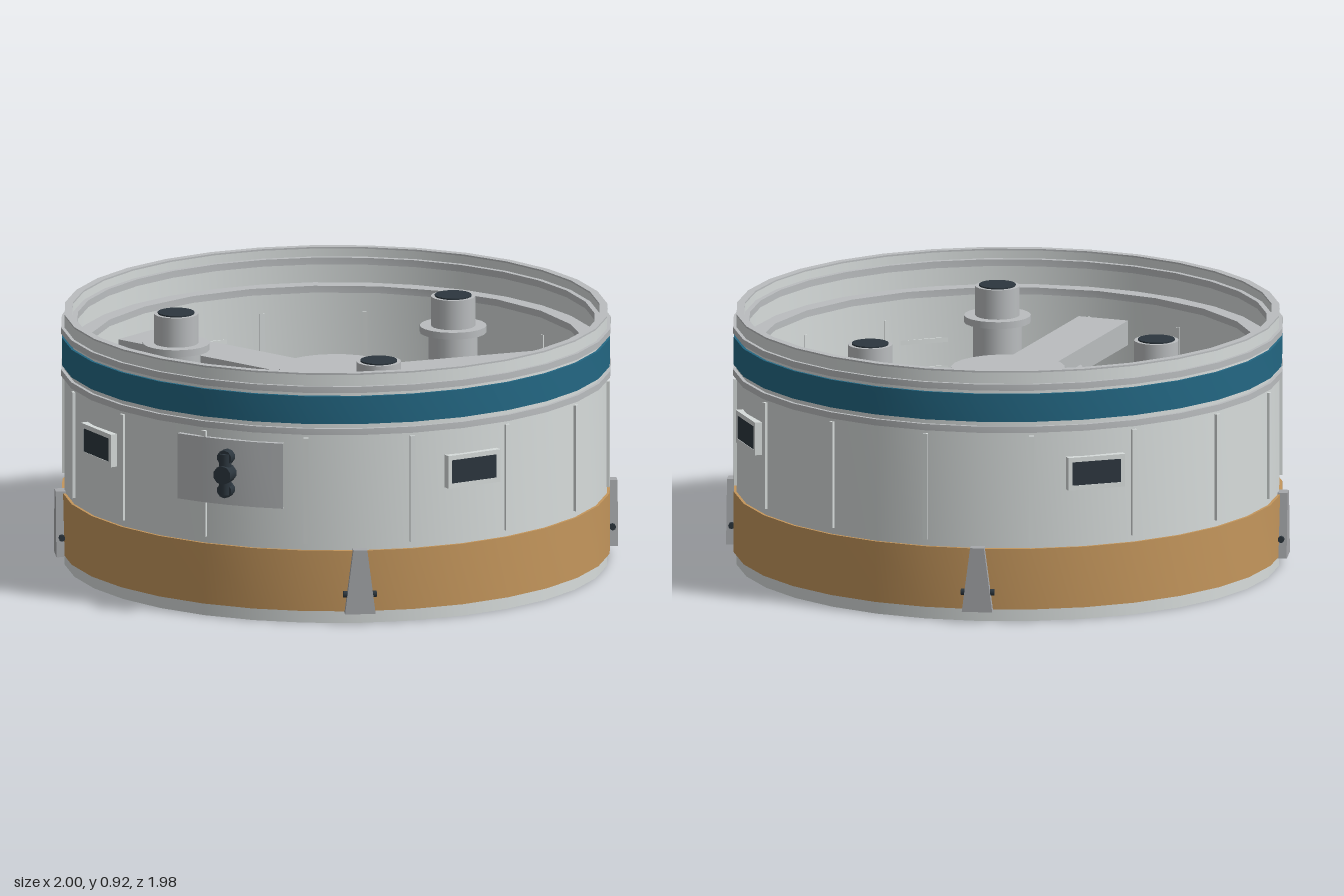
import * as THREE from 'three';
import { toCreasedNormals } from 'three/addons/utils/BufferGeometryUtils.js';

const material = (name, color) => {
  const m = new THREE.MeshStandardMaterial({ color });
  m.name = name;
  return m;
};

export function createModel() {
  const shellGrey = material('shell light grey', 0xd7dcdb);
  const frameGrey = material('structure grey', 0xbabdbf);
  const clampGrey = material('clamp grey', 0xa6a8ab);
  const teal = material('teal', 0x236783);
  const tan = material('tan', 0xc4965c);
  const dark = material('dark slate', 0x2c363e);
  frameGrey.side = THREE.DoubleSide;

  const model = new THREE.Group();
  model.name = 'ringModule';
  const body = new THREE.Group();
  body.name = 'body';
  body.position.x = 0.008;
  model.add(body);

  const add = (name, geometry, mat, parent = body) => {
    const mesh = new THREE.Mesh(geometry, mat);
    mesh.name = name;
    parent.add(mesh);
    return mesh;
  };

  // Solid ring with a rectangular section
  const ring = (name, rOut, rIn, y0, y1, mat, sides = 32, parent = body) => {
    const profile = [[rIn, y0], [rOut, y0], [rOut, y1], [rIn, y1], [rIn, y0]]
      .map(([r, y]) => new THREE.Vector2(r, y));
    return add(name, toCreasedNormals(new THREE.LatheGeometry(profile, sides), 0.5), mat, parent);
  };
  const disc = (name, r, y0, y1, mat, sides = 24, parent = body) => {
    const mesh = add(name, new THREE.CylinderGeometry(r, r, y1 - y0, sides), mat, parent);
    mesh.position.y = (y0 + y1) / 2;
    return mesh;
  };
  // Group on the wall whose local +z points outward; angle is measured from +z towards +x
  const onWall = (name, degrees, r, y) => {
    const a = THREE.MathUtils.degToRad(degrees);
    const g = new THREE.Group();
    g.name = name;
    g.position.set(Math.sin(a) * r, y, Math.cos(a) * r);
    g.rotation.y = a;
    body.add(g);
    return g;
  };

  // Outer shell, bands and flanges
  ring('shell', 0.976, 0.948, 0, 0.914, shellGrey);
  ring('topRim', 0.976, 0.948, 0.914, 0.92, frameGrey);
  ring('lowerBand', 0.986, 0.96, 0.045, 0.268, tan);
  ring('upperBand', 0.986, 0.96, 0.735, 0.837, teal);
  ring('lowerFlange', 0.988, 0.96, 0.695, 0.718, frameGrey);
  ring('upperFlange', 0.988, 0.96, 0.85, 0.873, frameGrey);

  // Inner ledges
  ring('topLip', 0.955, 0.93, 0.86, 0.885, frameGrey);
  ring('innerLedge', 0.955, 0.895, 0.765, 0.79, frameGrey, 24);
  ring('bottomLedge', 0.955, 0.91, 0.13, 0.15, shellGrey);

  // Vertical ribs
  for (let i = 0; i < 16; i++) {
    const rib = onWall('rib', 11.25 + i * 22.5, 0.965, 0.487);
    add('ribStrip', new THREE.BoxGeometry(0.018, 0.39, 0.042), shellGrey, rib);
  }

  // Windows with raised frames
  const rect = (path, w, h) => {
    path.moveTo(-w / 2, -h / 2);
    path.lineTo(w / 2, -h / 2);
    path.lineTo(w / 2, h / 2);
    path.lineTo(-w / 2, h / 2);
    path.closePath();
    return path;
  };
  const frameShape = rect(new THREE.Shape(), 0.215, 0.12);
  frameShape.holes.push(rect(new THREE.Path(), 0.184, 0.086));
  const frameGeometry = new THREE.ExtrudeGeometry(frameShape, { depth: 0.053, bevelEnabled: false });
  for (let i = 0; i < 4; i++) {
    const win = onWall('window', -20 + i * 90, 0.94, 0.54);
    add('windowFrame', frameGeometry, shellGrey, win);
    add('windowPane', new THREE.BoxGeometry(0.186, 0.088, 0.008), dark, win).position.z = 0.047;
  }

  // Tapered clamps on the lower band
  const clampShape = new THREE.Shape([[-0.055, 0], [0.055, 0], [0.025, 0.235], [-0.025, 0.235]]
    .map(([x, y]) => new THREE.Vector2(x, y)));
  const clampGeometry = new THREE.ExtrudeGeometry(clampShape, { depth: 0.07, bevelEnabled: false });
  for (let i = 0; i < 4; i++) {
    const clamp = onWall('clamp', 45 + i * 90, 0.94, 0.04);
    add('clampPlate', clampGeometry, clampGrey, clamp);
    const bolt = add('clampBolt', new THREE.CylinderGeometry(0.012, 0.012, 0.12, 8), dark, clamp);
    bolt.rotation.z = Math.PI / 2;
    bolt.position.set(0, 0.07, 0.05);
  }

  // Side hatch: curved plate with a handle
  const hatchArc = THREE.MathUtils.degToRad(24);
  const hatchProfile = [[0.95, 0.42], [0.99, 0.42], [0.99, 0.66], [0.95, 0.66]]
    .map(([r, y]) => new THREE.Vector2(r, y));
  const hatch = new THREE.LatheGeometry(hatchProfile, 4,
    THREE.MathUtils.degToRad(-73) - hatchArc / 2, hatchArc);
  add('hatchPlate', toCreasedNormals(hatch, 0.5), frameGrey);
  const handle = onWall('hatchHandle', -73, 1.005, 0.54);
  add('handleBar', new THREE.CylinderGeometry(0.022, 0.022, 0.15, 10), dark, handle).position.z = 0.01;
  for (const [y, r, depth] of [[-0.06, 0.028, 0.06], [0, 0.034, 0.08], [0.06, 0.028, 0.06]]) {
    const knob = add('handleKnob', new THREE.CylinderGeometry(r, r, depth, 10), dark, handle);
    knob.rotation.x = Math.PI / 2;
    knob.position.set(0, y, depth / 2 - 0.04);
  }

  // Internal deck and central hub
  disc('deck', 0.95, 0.365, 0.41, frameGrey, 32);
  disc('hub', 0.205, 0.41, 0.705, frameGrey);

  // Three radial beams reaching the wall, lower cross braces, and posts
  for (let i = 0; i < 3; i++) {
    const spoke = new THREE.Group();
    spoke.name = 'spoke';
    spoke.rotation.y = i * Math.PI * 2 / 3;
    body.add(spoke);
    add('beam', new THREE.BoxGeometry(0.19, 0.09, 0.94), frameGrey, spoke).position.set(0, 0.635, -0.47);
    add('brace', new THREE.BoxGeometry(0.92, 0.07, 0.11), frameGrey, spoke).position.set(0, 0.585, 0.265);

    const a = THREE.MathUtils.degToRad(5 + i * 120);
    const post = new THREE.Group();
    post.name = 'post';
    post.position.set(0.593 * Math.cos(a), 0, 0.593 * Math.sin(a));
    body.add(post);
    disc('postColumn', 0.088, 0.41, 0.735, frameGrey, 20, post);
    disc('postFlange', 0.12, 0.735, 0.76, frameGrey, 20, post);
    disc('postNeck', 0.08, 0.76, 0.868, frameGrey, 20, post);
    disc('postCap', 0.066, 0.866, 0.873, dark, 20, post);
  }

  // Base shield with three round openings
  const shieldShape = new THREE.Shape().absarc(0, 0, 0.94, 0, Math.PI * 2);
  const openings = [30, 150, 270].map((d) => {
    const a = THREE.MathUtils.degToRad(d);
    return [0.52 * Math.cos(a), 0.52 * Math.sin(a)];
  });
  for (const [x, z] of openings) {
    shieldShape.holes.push(new THREE.Path().absarc(x, z, 0.3, 0, Math.PI * 2, true));
  }
  const shield = new THREE.ExtrudeGeometry(shieldShape,
    { depth: 0.03, bevelEnabled: false, curveSegments: 32 });
  shield.rotateX(Math.PI / 2);
  add('baseShield', shield, tan).position.y = 0.37;
  ring('shieldRim', 0.945, 0.92, 0.328, 0.345, dark);

  const boltGeometry = new THREE.CylinderGeometry(0.013, 0.013, 0.014, 8);
  for (const [x, z] of openings) {
    const opening = new THREE.Group();
    opening.name = 'opening';
    opening.position.set(x, 0, z);
    body.add(opening);
    ring('openingSeal', 0.315, 0.298, 0.33, 0.345, dark, 32, opening);
    ring('openingWall', 0.3, 0.285, 0.335, 0.367, shellGrey, 32, opening);
    for (let k = 0; k < 8; k++) {
      const a = (k + 0.5) * Math.PI / 4 + Math.atan2(z, x);
      add('shieldBolt', boltGeometry, shellGrey, opening)
        .position.set(0.39 * Math.cos(a), 0.336, 0.39 * Math.sin(a));
    }
  }

  // Dark seams between the openings
  for (const d of [0, 120, 240]) {
    const seam = onWall('shieldSeam', d, 0.52, 0.336);
    add('seamStrip', new THREE.BoxGeometry(0.028, 0.012, 0.8), dark, seam);
  }

  return model;
}
